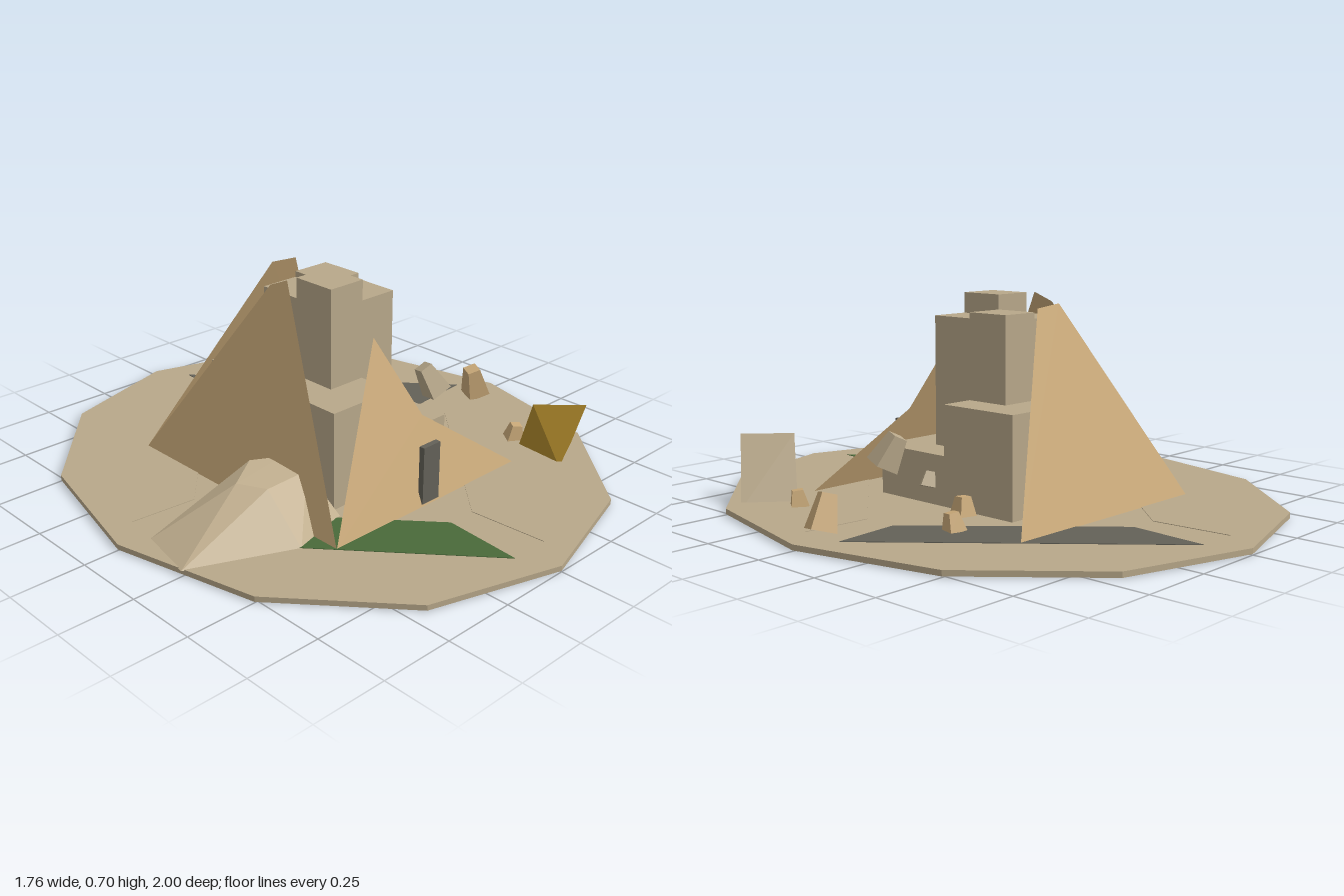
import * as THREE from 'three';
import { ConvexGeometry } from 'three/addons/geometries/ConvexGeometry.js';

const mat = (name, color, extra = {}) =>
  Object.assign(new THREE.MeshStandardMaterial({ color, flatShading: true, ...extra }), { name });

export function createModel() {
  const root = new THREE.Group();
  root.name = 'ruinedPyramid';

  const stone = mat('stone', 0xb8a88a);
  const casing = mat('casing', 0xc8a878, { side: THREE.DoubleSide });
  const sand = mat('sand', 0xc2b090);
  const slate = mat('slate', 0x636158);
  const green = mat('green', 0x4a6a3a);
  const gold = mat('gold', 0xb8902e);

  const add = (name, geometry, material, x = 0, y = 0, z = 0) => {
    const mesh = new THREE.Mesh(geometry, material);
    mesh.name = name;
    mesh.position.set(x, y, z);
    root.add(mesh);
    return mesh;
  };

  // Flat polygon as a triangle fan, corners counter-clockwise from outside
  const fan = (...loops) => {
    const pos = [];
    for (const p of loops)
      for (let i = 1; i < p.length - 1; i++) pos.push(...p[0], ...p[i], ...p[i + 1]);
    const g = new THREE.BufferGeometry();
    g.setAttribute('position', new THREE.Float32BufferAttribute(pos, 3));
    g.computeVertexNormals();
    return g;
  };

  // Twelve-sided oval ground
  const ground = add('ground', new THREE.CylinderGeometry(1, 1, 0.018, 12), stone, 0, 0.013, 0);
  ground.scale.x = 0.88;

  // Four thin floor panels, mirrored into each corner
  for (const [sx, sz, m] of [[1, 1, stone], [-1, 1, green], [1, -1, slate], [-1, -1, stone]]) {
    const shape = new THREE.Shape(
      [[0.07, 0.88], [0.77, 0.08], [0.54, 0.06], [0.05, 0.61]]
        .map(([x, z]) => new THREE.Vector2(x * sx, -z * sz)));
    const g = new THREE.ExtrudeGeometry(shape, { depth: 0.003, bevelEnabled: false });
    add('floorPanel', g.rotateX(-Math.PI / 2), m, 0, 0.021, 0);
  }

  // Core blocks: two tiers of four quadrants, each with its own top
  const tier = (name, w, d, bottom, tops) => {
    for (const [sx, sz, top] of tops)
      add(name, new THREE.BoxGeometry(w, top - bottom, d), stone,
        sx * w / 2, (top + bottom) / 2, sz * d / 2);
  };
  tier('lowerBlock', 0.26, 0.3, 0.02, [[-1, 1, 0.36], [1, 1, 0.19], [1, -1, 0.36], [-1, -1, 0.36]]);
  // The front right column reaches down to the lower step
  tier('upperBlock', 0.14, 0.16, 0.19, [[-1, 1, 0.7], [1, 1, 0.63], [1, -1, 0.65], [-1, -1, 0.63]]);

  // Leaning outer walls with broken tops
  add('frontWall', fan([[-0.42, 0.02, 0.48], [0.42, 0.02, 0.48],
    [0.06, 0.28, 0.377], [-0.06, 0.55, 0.27]]), casing);
  add('backWall', fan([[0.42, 0.02, -0.48], [-0.42, 0.02, -0.48],
    [-0.05, 0.68, -0.22], [0.06, 0.67, -0.225]]), casing);
  add('leftWall', fan([[-0.42, 0.02, -0.48], [-0.42, 0.02, 0.48],
    [-0.18, 0.7, 0], [-0.19, 0.67, -0.07]]), casing);

  // Doorway on the front wall
  add('door', new THREE.BoxGeometry(0.075, 0.2, 0.02), slate, -0.002, 0.13, 0.47);

  // Faceted sand mound against the left wall
  const mound = [[-0.83, 0.02, 0.25], [-0.79, 0.02, 0.04], [-0.43, 0.02, -0.01], [-0.27, 0.02, 0.1],
    [-0.27, 0.02, 0.34], [-0.49, 0.02, 0.4], [-0.55, 0.175, 0.17], [-0.5, 0.172, 0.26],
    [-0.42, 0.175, 0.08], [-0.33, 0.175, 0.13], [-0.33, 0.17, 0.25]];
  add('sandMound', new ConvexGeometry(mound.map(p => new THREE.Vector3(...p))), sand);

  // Fallen capstone: square stone base facing up and back, gold sides sunk into the ground
  const a = [0.47, 0.23, 0.51], b = [0.6, 0.23, 0.635];
  const c = [0.688, 0.001, 0.52], d = [0.547, 0.001, 0.4], tip = [0.532, 0.001, 0.592];
  add('capstoneBase', fan([a, b, c, d]), stone);
  add('capstoneSides', fan([a, tip, b], [b, tip, c], [a, d, tip], [d, c, tip]), gold);

  // Scattered tapered rocks: x, y, z, base width, height, material, tilt x, turn y, tilt z
  const rocks = [
    [0.3, 0.053, -0.125, 0.065, 0.062, casing, 0.05, 0.15, 0.05],
    [0.455, 0.05, -0.235, 0.06, 0.06, casing, 0.1, 0.25, -0.1],
    [0.57, 0.046, 0.365, 0.062, 0.055, casing, 0.05, 0.6, -0.1],
    [0.735, 0.087, 0.03, 0.085, 0.115, casing, 0.2, 0.4, 0.35],
    [0.31, 0.12, 0.02, 0.05, 0.05, stone, 0.3, 0.6, 0.4],
    [0.405, 0.215, 0.1, 0.085, 0.11, stone, -0.2, 0.3, 0.4],
  ];
  for (const [x, y, z, w, h, m, rx, ry, rz] of rocks) {
    const g = new THREE.CylinderGeometry(w * 0.4, w * 0.68, h, 4).rotateY(Math.PI / 4);
    add('rock', g, m, x, y, z).rotation.set(rx, -ry, rz);
  }

  return root;
}
